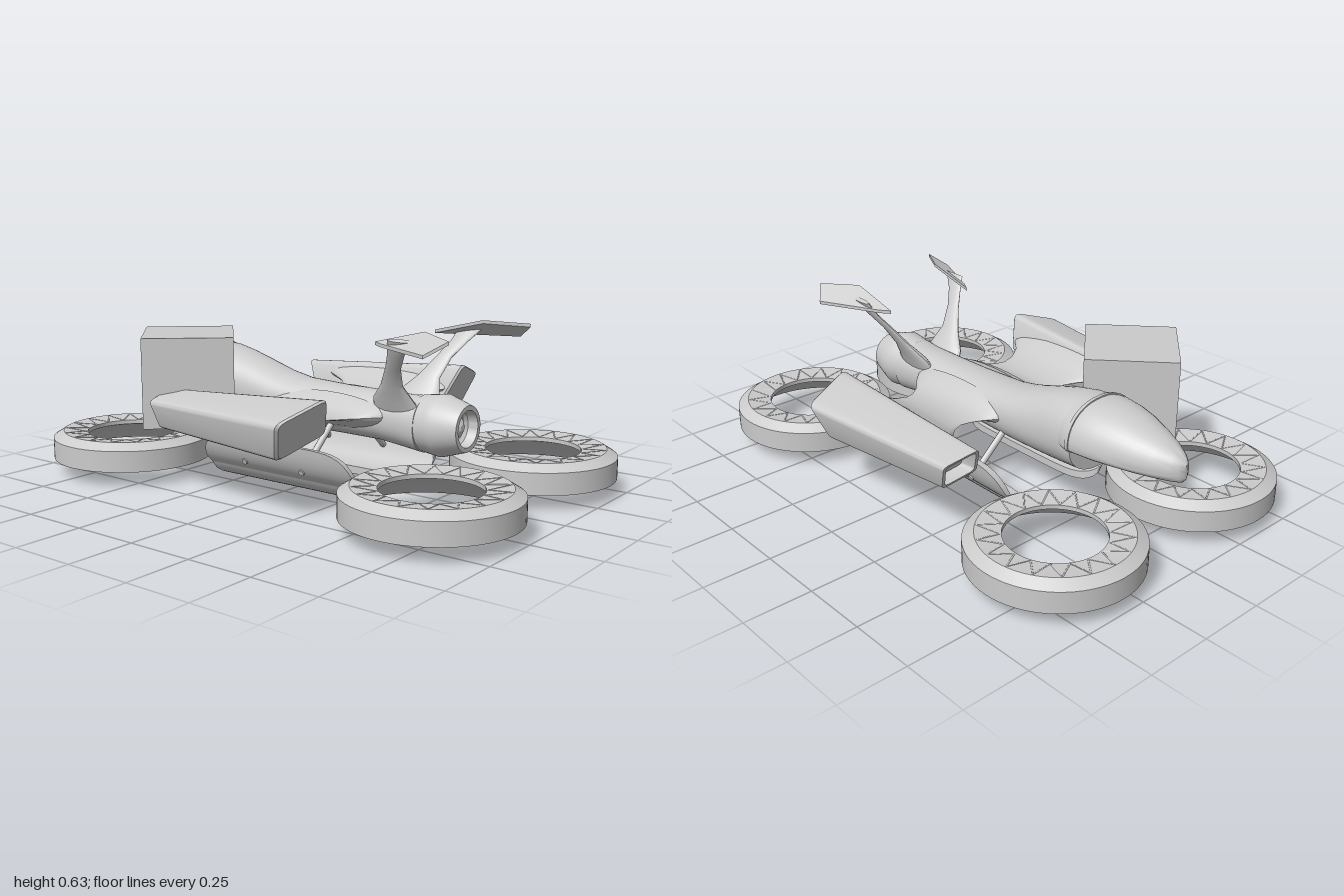
import * as THREE from 'three';
import { toCreasedNormals } from 'three/addons/utils/BufferGeometryUtils.js';

const grey = new THREE.MeshStandardMaterial({ color: 0xcccccc, side: THREE.DoubleSide });
const V = (x, y, z) => new THREE.Vector3(x, y, z);

function part(name, geometry, parent) {
  const mesh = new THREE.Mesh(geometry, grey);
  mesh.name = name;
  parent.add(mesh);
  return mesh;
}

// Skin a list of equal-length closed rings and cap both ends; faces always point outwards.
function loft(rings, crease = 0.6) {
  const n = rings[0].length, pts = rings.flat(), idx = [];
  for (let r = 0; r < rings.length - 1; r++)
    for (let i = 0; i < n; i++) {
      const a = r * n + i, b = r * n + (i + 1) % n;
      idx.push(a, b, a + n, b, b + n, a + n);
    }
  for (const r of [0, rings.length - 1]) {
    const c = pts.length;
    pts.push(rings[r].reduce((s, p) => s.add(p), V(0, 0, 0)).divideScalar(n));
    for (let i = 0; i < n; i++) {
      const a = r * n + i, b = r * n + (i + 1) % n;
      if (r === 0) idx.push(c, b, a); else idx.push(c, a, b);
    }
  }
  let volume = 0;
  for (let i = 0; i < idx.length; i += 3)
    volume += pts[idx[i]].dot(V(0, 0, 0).crossVectors(pts[idx[i + 1]], pts[idx[i + 2]]));
  if (volume < 0) idx.reverse();
  const g = new THREE.BufferGeometry().setFromPoints(pts);
  g.setIndex(idx);
  return toCreasedNormals(g, crease);
}

// Body section: half width w, bottom, widest height and top.
const bodyRing = ([z, w, bottom, mid, top], n = 40) => Array.from({ length: n }, (_, i) => {
  const a = i / n * Math.PI * 2, s = Math.sin(a), c = Math.cos(a);
  const y = Math.sign(s) * Math.abs(s) ** 0.9 * (s > 0 ? top - mid : mid - bottom);
  return V(Math.sign(c) * Math.abs(c) ** 0.9 * w, mid + y, z);
});

// Four corners joined into a ring with rounded corners.
function roundedQuad(corners, k = 0.16) {
  const out = [];
  corners.forEach((p, i) => {
    const a = p.clone().lerp(corners[(i + 3) % 4], k), b = p.clone().lerp(corners[(i + 1) % 4], k);
    out.push(...new THREE.QuadraticBezierCurve3(a, p, b).getPoints(4));
  });
  return out;
}

function shrink(ring, k, dz = 0) {
  const c = ring.reduce((s, p) => s.add(p), V(0, 0, 0)).divideScalar(ring.length);
  return ring.map(p => p.clone().sub(c).multiplyScalar(k).add(c).add(V(0, 0, dz)));
}

function rod(name, a, b, r, parent) {
  const d = b.clone().sub(a);
  const m = part(name, new THREE.CylinderGeometry(r, r, d.length(), 10), parent);
  m.position.copy(a).addScaledVector(d, 0.5);
  m.quaternion.setFromUnitVectors(V(0, 1, 0), d.normalize());
}

function addRotor(x, z, parent) {
  const rotor = new THREE.Group();
  rotor.name = 'rotorRing';
  rotor.position.set(x, 0, z);
  parent.add(rotor);
  const profile = [[.285, .03], [.305, .03], [.305, .11], [.265, .135], [.175, .126], [.175, .11], [.21, .1], [.285, .03]];
  part('shroud', toCreasedNormals(new THREE.LatheGeometry(profile.map(p => new THREE.Vector2(...p)), 64), 0.5), rotor);
  // zigzag lattice lying on the upper face
  const bars = 36, at = i => {
    const a = i / bars * Math.PI * 2, r = i % 2 ? 0.26 : 0.18;
    return V(r * Math.cos(a), i % 2 ? 0.133 : 0.125, r * Math.sin(a));
  };
  for (let i = 0; i < bars; i++) rod('latticeBar', at(i), at(i + 1), 0.003, rotor);
}

function addSide(s, craft) {
  const side = new THREE.Group();
  side.name = s > 0 ? 'leftSide' : 'rightSide';
  craft.add(side);
  const P = (x, y, z) => V(s * x, y, z);

  // thin wing flaring into the body and the pod: x, y, half thickness, leading z, trailing z
  const wing = [
    [.08, .265, .065, -.19, .34], [.115, .265, .05, -.17, .31], [.14, .263, .03, -.15, .28],
    [.17, .262, .018, -.13, .245], [.21, .262, .013, -.115, .215], [.25, .265, .013, -.113, .2],
    [.3, .271, .016, -.14, .21], [.35, .282, .026, -.19, .24], [.385, .292, .036, -.255, .285], [.43, .3, .045, -.33, .3]];
  part('wing', loft(wing.map(([x, y, h, z0, z1]) => Array.from({ length: 28 }, (_, i) => {
    const a = i / 28 * Math.PI * 2;
    return P(x, y + h * Math.sin(a), (z0 + z1) / 2 + (z1 - z0) / 2 * Math.cos(a));
  }))), side);

  // wing-tip pod with a recessed front opening
  const rear = roundedQuad([P(.43, .39, .335), P(.632, .325, .28), P(.575, .182, .23), P(.368, .25, .28)]);
  const front = roundedQuad([P(.41, .338, -.4), P(.55, .31, -.38), P(.53, .208, -.345), P(.39, .235, -.36)]);
  part('wingPod', loft([shrink(rear, .93, .01), rear, front, shrink(front, .84), shrink(front, .78, .06)]), side);

  // tail fin: x, y, leading z, trailing z, half thickness
  const fin = [[.05, .27, .26, .48, .028], [.085, .335, .28, .45, .024], [.12, .39, .335, .43, .014],
    [.165, .46, .385, .45, .01], [.205, .515, .42, .49, .009], [.235, .57, .44, .54, .009]];
  part('tailFin', loft(fin.map(([x, y, z0, z1, t]) => Array.from({ length: 16 }, (_, i) => {
    const a = i / 16 * Math.PI * 2, d = t * Math.sin(a);
    return P(x + d * .85, y - d * .5, (z0 + z1) / 2 + (z1 - z0) / 2 * Math.cos(a));
  }))), side);

  // swept plate on the fin tip
  const tip = [P(.19, .552, .36), P(.215, .55, .4), P(.325, .547, .64), P(.275, .592, .705), P(.19, .602, .56)];
  part('tailPlate', loft([tip, tip.map(p => p.clone().add(V(0, -.012, 0)))], 0.3), side);

  // curved landing skid, rounded towards both ends
  const shift = -0.02, K = (x, y, z) => V(s * x + shift, y, z);
  const curve = new THREE.QuadraticBezierCurve(
    new THREE.Vector2(.295, .165), new THREE.Vector2(.272, .0), new THREE.Vector2(.125, .003));
  const rings = [];
  for (let j = 0; j <= 28; j++) {
    const t = -Math.cos(j / 28 * Math.PI), m = Math.max(0.3, (1 - Math.abs(t) ** 7) ** 0.4);
    const outer = [], inner = [];
    for (let i = 0; i <= 14; i++) {
      const u = 0.5 + m * (i / 14 - 0.5), p = curve.getPoint(u), d = curve.getTangent(u);
      const z = -0.007 + 0.353 * t;
      outer.push(K(p.x, p.y, z));
      inner.unshift(K(p.x + d.y * .03, Math.min(p.y - d.x * -.03, .165), z));
    }
    rings.push([...outer, ...inner]);
  }
  part('skid', loft(rings), side);
  for (const z of [.11, -.16]) {
    rod('skidStrut', K(.07, .235, z), K(.245, .075, z), .012, side);
    rod('skidBolt', K(.235, .08, z), K(.268, .066, z), .012, side);
  }

  for (const z of [-.695, .695]) addRotor(s * .345, z, side);
}

export function createModel() {
  const craft = new THREE.Group();
  craft.name = 'aircraft';

  // main body: z, half width, bottom, widest height, top
  const body = [[.46, .105, .143, .245, .345], [.38, .098, .152, .25, .34], [.28, .093, .163, .255, .342],
    [.1, .1, .165, .26, .342], [-.1, .112, .165, .265, .35], [-.2, .118, .165, .27, .37], [-.3, .123, .167, .28, .402],
    [-.4, .13, .172, .295, .432], [-.48, .143, .18, .31, .448], [-.557, .15, .19, .315, .452]];
  part('fuselage', loft(body.map(b => bodyRing(b))), craft);

  // cockpit nose with a flatter underside
  const nose = [[-.46, .128, .275, .31, .438], [-.53, .157, .275, .315, .452], [-.58, .16, .275, .32, .457],
    [-.65, .149, .275, .32, .453], [-.72, .131, .275, .32, .441], [-.79, .107, .275, .32, .42],
    [-.85, .081, .276, .32, .4], [-.9, .051, .278, .32, .378], [-.925, .027, .281, .32, .364], [-.937, .006, .295, .32, .35]];
  part('cockpit', loft(nose.map(b => bodyRing(b))), craft);

  // raised strip behind the canopy
  part('canopyBand', loft([[-.545, .161, .273, .315, .458], [-.56, .163, .273, .318, .46]].map(b => bodyRing(b))), craft);

  // tail engine
  const nozzle = [[.1, .44], [.108, .5], [.112, .53], [.083, .622], [.066, .622], [.062, .585], [.05, .575],
    [.05, .56], [.038, .56], [.036, .585], [.012, .6], [0, .6]];
  const engine = new THREE.LatheGeometry(nozzle.map(p => new THREE.Vector2(...p)), 48).rotateX(Math.PI / 2);
  part('engineNozzle', toCreasedNormals(engine, 0.5), craft).position.y = .247;

  // cube beside the nose
  const box = part('cargoBox', new THREE.BoxGeometry(.335, .335, .335), craft);
  box.position.set(-.296, .3625, -.424);
  box.rotation.y = Math.PI / 4 - .04;

  for (const s of [1, -1]) addSide(s, craft);
  return craft;
}
